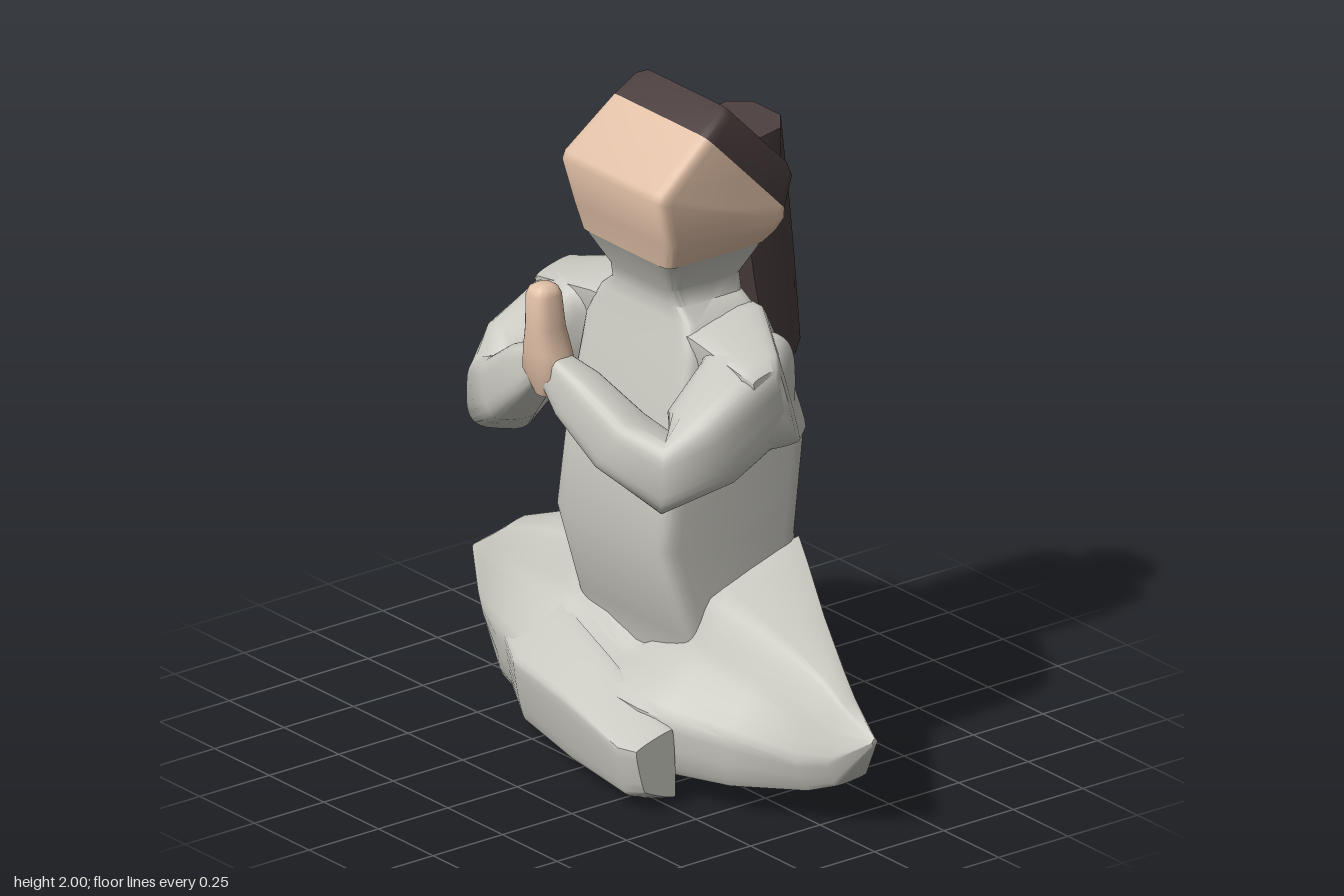
import * as THREE from 'three';
import { toCreasedNormals } from 'three/addons/utils/BufferGeometryUtils.js';

const V = (x, y, z) => new THREE.Vector3(x, y, z);
const N = 28;

// Closed skin over a list of equal-length rings, with capped ends.
function loft(rings, crease = 0.75) {
  const n = rings[0].length, pts = rings.flat(), idx = [];
  for (let r = 0; r < rings.length - 1; r++) {
    for (let i = 0; i < n; i++) {
      const a = r * n + i, b = r * n + (i + 1) % n;
      idx.push(a, b, a + n, b, b + n, a + n);
    }
  }
  [0, rings.length - 1].forEach((r, end) => {
    const c = V(0, 0, 0);
    rings[r].forEach(p => c.addScaledVector(p, 1 / n));
    pts.push(c);
    for (let i = 0; i < n; i++) {
      const a = r * n + i, b = r * n + (i + 1) % n;
      end ? idx.push(a, b, pts.length - 1) : idx.push(b, a, pts.length - 1);
    }
  });
  // Turn the faces outward whichever way the rings run
  let volume = 0;
  for (let i = 0; i < idx.length; i += 3) {
    volume += pts[idx[i]].dot(V(0, 0, 0).crossVectors(pts[idx[i + 1]], pts[idx[i + 2]]));
  }
  if (volume < 0) idx.reverse();
  const g = new THREE.BufferGeometry().setFromPoints(pts);
  g.setIndex(idx);
  return toCreasedNormals(g, crease);
}

// Rounded-square outline running through -1..1 on both axes
function outline(power) {
  const f = v => Math.sign(v) * Math.pow(Math.abs(v), power);
  return Array.from({ length: N }, (_, i) => {
    const a = (i / N) * Math.PI * 2;
    return [f(Math.cos(a)), f(Math.sin(a))];
  });
}

// Sections given as [front z, front y, back z, back y, half width]
function column(sections, power) {
  return loft(sections.map(([fz, fy, bz, by, hw]) => outline(power).map(([u, v]) => {
    const t = (v + 1) / 2;
    return V(u * hw, by + (fy - by) * t, bz + (fz - bz) * t);
  })));
}

// Sections given as [x, y, z, half width, half height], square to the path
function limb(sections) {
  const c = sections.map(s => V(s[0], s[1], s[2]));
  return loft(sections.map((s, i) => {
    const dir = c[Math.min(i + 1, c.length - 1)].clone().sub(c[Math.max(i - 1, 0)]).normalize();
    const side = V(0, 1, 0).cross(dir).normalize();
    const up = dir.clone().cross(side);
    return outline(0.6).map(([u, v]) =>
      c[i].clone().addScaledVector(side, u * s[3]).addScaledVector(up, v * s[4]));
  }), 1.1);
}

// Sections across x, each [x, [[z, y], ...]] with softened corners
function crosswise(sections) {
  return loft(sections.map(([x, zy]) =>
    new THREE.CatmullRomCurve3(zy.map(([z, y]) => V(x, y, z)), true, 'catmullrom', 0.15)
      .getPoints(N).slice(0, N)), 0.8);
}

// Repeat the sections of the left half on the right
const mirrored = half => [...half.map(([x, zy]) => [-x, zy]).reverse(), ...half];

export function createModel() {
  const model = new THREE.Group();
  const material = (name, color) => {
    const m = new THREE.MeshStandardMaterial({ color });
    m.name = name;
    return m;
  };
  const cloth = material('grey cloth', 0xcac9c1);
  const skin = material('skin', 0xe0bfa6);
  const hair = material('dark hair', 0x4a3d3d);
  const add = (name, geometry, mat) => {
    const mesh = new THREE.Mesh(geometry, mat);
    mesh.name = name;
    mesh.position.x = 0.01;
    model.add(mesh);
  };

  // Torso with collar, ending under the jaw
  const jaw = [0.125, 1.56, -0.235, 1.56, 0.205];
  add('torso', column([
    [0.06, 0.2, -0.3, 0.19, 0.25],
    [0.06, 0.32, -0.332, 0.26, 0.275],
    [0.1, 0.44, -0.328, 0.45, 0.27],
    [0.19, 0.72, -0.315, 0.66, 0.26],
    [0.155, 0.97, -0.35, 0.97, 0.26],
    [0.085, 1.28, -0.23, 1.28, 0.25],
    [0.06, 1.37, -0.195, 1.38, 0.21],
    [0.055, 1.41, -0.19, 1.41, 0.16],
    [0.07, 1.46, -0.19, 1.46, 0.15],
    jaw,
  ], 0.2), cloth);

  // Shoulders, sloping from the broad back out to the upper arms
  add('shoulders', crosswise(mirrored([
    [0.02, [[-0.347, 0.97], [-0.02, 1.0], [0.06, 1.35], [-0.19, 1.385]]],
    [0.235, [[-0.347, 0.97], [-0.02, 1.02], [0.06, 1.34], [-0.19, 1.38]]],
    [0.47, [[-0.14, 1.06], [0.02, 1.07], [0.07, 1.31], [-0.06, 1.34]]],
    [0.5, [[-0.1, 1.1], [0.01, 1.1], [0.05, 1.29], [-0.04, 1.31]]],
  ])), cloth);

  // Head tilted upward: face wedge, then hair over the crown
  const hairline = [0.0, 1.94, -0.295, 1.64, 0.222];
  add('face', column([
    jaw,
    [0.142, 1.64, -0.265, 1.592, 0.226],
    [0.18, 1.78, -0.285, 1.62, 0.236],
    [0.17, 1.805, -0.287, 1.622, 0.236],
    hairline,
  ], 0.14), skin);
  add('crownHair', column([
    hairline,
    [-0.07, 1.99, -0.33, 1.73, 0.21],
    [-0.095, 2.0, -0.33, 1.76, 0.185],
  ], 0.14), hair);

  // Ponytail with bevelled back corners
  const tail = [
    [-0.27, 1.84, -0.39, 1.86, 0.125],
    [-0.22, 1.55, -0.42, 1.57, 0.135],
    [-0.24, 1.42, -0.434, 1.43, 0.135],
    [-0.305, 1.13, -0.463, 1.155, 0.12],
  ];
  const tailOutline = [[1, 0], [1, 0.6], [0.52, 1], [-0.52, 1], [-1, 0.6], [-1, 0]];
  add('ponytail', loft(tail.map(([fz, fy, bz, by, hw]) => tailOutline.map(([u, t]) =>
    V(u * hw, fy + (by - fy) * t, fz + (bz - fz) * t))), 1), hair);

  // Bent arms meeting in front of the chest
  const armPath = [
    [0.28, 1.2, -0.11, 0.13, 0.15],
    [0.385, 1.19, 0.0, 0.13, 0.15],
    [0.41, 1.1, 0.17, 0.107, 0.13],
    [0.375, 1.035, 0.27, 0.1, 0.11],
    [0.25, 1.11, 0.335, 0.082, 0.095],
    [0.11, 1.22, 0.38, 0.065, 0.082],
    [0.03, 1.275, 0.395, 0.045, 0.055],
  ];
  for (const side of [1, -1]) {
    add(side > 0 ? 'leftArm' : 'rightArm',
      limb(armPath.map(([x, ...rest]) => [x * side, ...rest])), cloth);
  }

  // Palms pressed together
  add('hands', column([
    [0.43, 1.19, 0.35, 1.21, 0.04],
    [0.455, 1.26, 0.328, 1.26, 0.085],
    [0.463, 1.33, 0.335, 1.33, 0.066],
    [0.463, 1.4, 0.35, 1.4, 0.05],
    [0.462, 1.5, 0.363, 1.5, 0.046],
    [0.452, 1.52, 0.373, 1.52, 0.038],
    [0.435, 1.53, 0.39, 1.53, 0.02],
  ], 0.8), skin);

  // Folded legs spreading to pointed knees, flush with the back at the hips
  add('foldedLegs', crosswise(mirrored([
    [0.02, [[-0.28, 0.17], [0.22, 0.06], [0.27, 0.28], [0.12, 0.32], [0.03, 0.36], [-0.3, 0.5], [-0.333, 0.26]]],
    [0.25, [[-0.29, 0.17], [0.22, 0.07], [0.27, 0.27], [0.1, 0.4], [0.02, 0.55], [-0.31, 0.65], [-0.333, 0.27]]],
    [0.33, [[-0.28, 0.16], [0.21, 0.08], [0.25, 0.26], [0.1, 0.4], [0.02, 0.54], [-0.28, 0.6], [-0.32, 0.27]]],
    [0.52, [[-0.24, 0.14], [0.15, 0.09], [0.17, 0.24], [0.07, 0.38], [0.0, 0.5], [-0.19, 0.52], [-0.27, 0.26]]],
    [0.72, [[-0.16, 0.12], [0.03, 0.11], [0.07, 0.21], [0.03, 0.34], [-0.02, 0.435], [-0.1, 0.45], [-0.18, 0.25]]],
    [0.8, [[-0.12, 0.15], [-0.01, 0.14], [0.02, 0.22], [0, 0.31], [-0.03, 0.38], [-0.08, 0.39], [-0.13, 0.27]]],
    [0.915, [[-0.065, 0.29], [-0.055, 0.29], [-0.05, 0.3], [-0.052, 0.303], [-0.055, 0.308], [-0.062, 0.31], [-0.07, 0.3]]],
  ])), cloth);

  // Shin and foot crossing in front
  add('crossedShin', crosswise([
    [-0.62, [[0, 0.13], [0.09, 0.13], [0.1, 0.24], [0, 0.29]]],
    [-0.28, [[0.05, 0.07], [0.26, 0.06], [0.3, 0.25], [0.12, 0.38]]],
    [0, [[0.12, 0.04], [0.31, 0.045], [0.345, 0.24], [0.18, 0.33]]],
    [0.31, [[0.22, 0.005], [0.36, 0.05], [0.39, 0.2], [0.24, 0.255]]],
    [0.37, [[0.23, 0.03], [0.34, 0.07], [0.37, 0.2], [0.24, 0.235]]],
  ]), cloth);

  return model;
}
